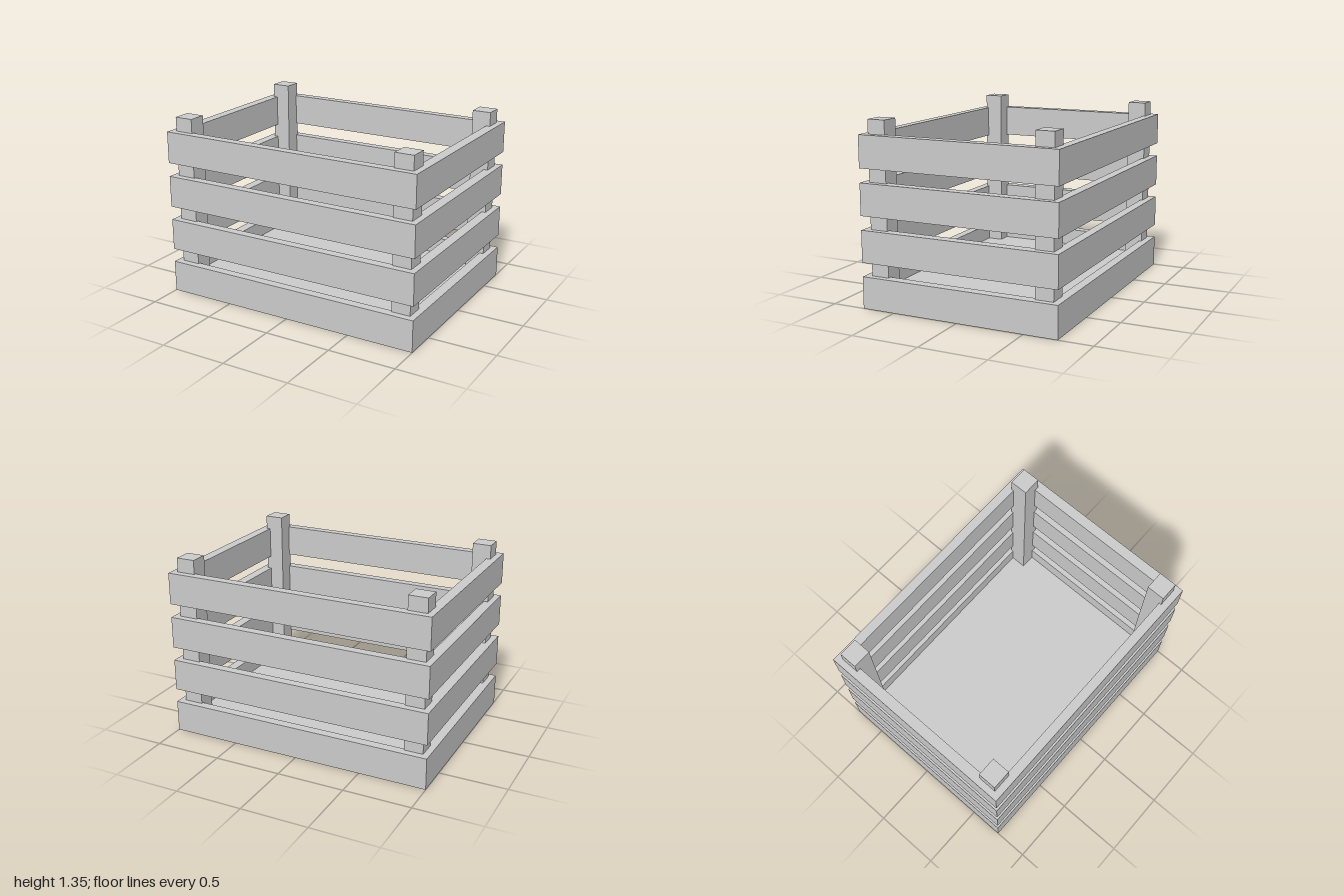
import * as THREE from 'three';

export function createModel() {
  const crate = new THREE.Group();
  crate.name = 'slattedCrate';
  const material = new THREE.MeshStandardMaterial({ color: 0xcccccc, flatShading: true });

  const add = (name, geometry, x, y, z) => {
    const mesh = new THREE.Mesh(geometry, material);
    mesh.name = name;
    mesh.position.set(x, y, z);
    crate.add(mesh);
  };

  // Rectangle outline centred on the origin
  const rectangle = (Path, hx, hz) => {
    const path = new Path();
    path.moveTo(-hx, -hz);
    path.lineTo(hx, -hz);
    path.lineTo(hx, hz);
    path.lineTo(-hx, hz);
    path.closePath();
    return path;
  };

  // Four continuous slat rings, joined at the corners
  const outline = rectangle(THREE.Shape, 1, 0.75);
  outline.holes.push(rectangle(THREE.Path, 0.923, 0.682));
  const ring = new THREE.ExtrudeGeometry(outline, { depth: 0.235, bevelEnabled: false });
  ring.rotateX(-Math.PI / 2);
  for (let i = 0; i < 4; i++) add(`slatRing${i + 1}`, ring, 0, i * 0.337, 0);

  // Floor panel, recessed slightly from the underside
  add('floor', new THREE.BoxGeometry(1.85, 0.075, 1.368), 0, 0.0725, 0);

  // Corner posts, let into the slats
  const post = new THREE.BoxGeometry(0.14, 1.3, 0.135);
  for (const [side, sx] of [['Left', 1], ['Right', -1]]) {
    for (const [end, sz] of [['front', 1], ['back', -1]]) {
      add(`${end}${side}Post`, post, sx * 0.884, 0.7, sz * 0.632);
    }
  }
  return crate;
}
